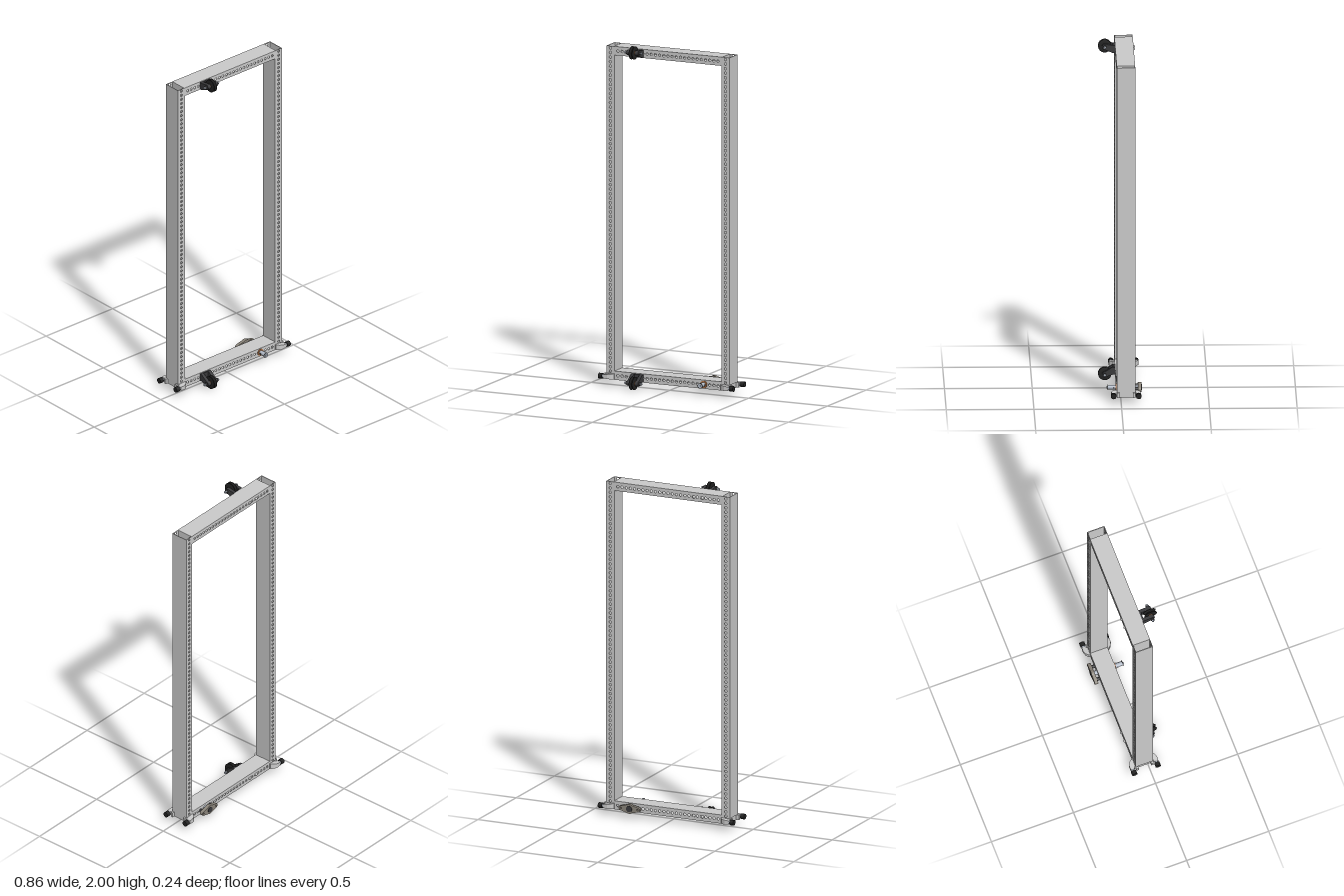
import * as THREE from 'three';

const mat = (color) => new THREE.MeshStandardMaterial({ color, side: THREE.DoubleSide });
const grey = mat(0xcccccc), dark = mat(0x3a3a3c), black = mat(0x222222);
const brass = mat(0xb87848), steel = mat(0xb4bcc8), cast = mat(0x8c867c);

const Z0 = -0.08, Z1 = 0.025, ZC = (Z0 + Z1) / 2; // back, front and middle of the frame
const W = 0.051, WALL = 0.004;                     // tube face width and wall

function add(parent, name, geometry, material, x = 0, y = 0, z = 0) {
  const mesh = new THREE.Mesh(geometry, material);
  mesh.name = name;
  mesh.position.set(x, y, z);
  parent.add(mesh);
  return mesh;
}
const box = (w, h, d) => new THREE.BoxGeometry(w, h, d);
const rodX = (r, len, n = 20) => new THREE.CylinderGeometry(r, r, len, n).rotateZ(Math.PI / 2);
const rodZ = (r, len, n = 20) => new THREE.CylinderGeometry(r, r, len, n).rotateX(Math.PI / 2);
const shapeOf = (pts) => new THREE.Shape(pts.map(([x, y]) => new THREE.Vector2(x, y)));
const extrude = (shape, depth) =>
  new THREE.ExtrudeGeometry(shape, { depth, bevelEnabled: false, curveSegments: 10 });
function punch(shape, x, y, r) {
  shape.holes.push(new THREE.Path().absarc(x, y, r, 0, Math.PI * 2, true));
}

// Hollow open-ended tube along local x, with a row of holes in front and back
function perforatedTube(name, length) {
  const g = new THREE.Group();
  g.name = name;
  const h = W / 2, l = length / 2;
  const face = shapeOf([[-l, -h], [l, -h], [l, h], [-l, h]]);
  const pitch = 0.0265, n = Math.floor((length - 0.02) / pitch);
  for (let i = 0; i <= n; i++) punch(face, (i - n / 2) * pitch, 0, 0.0075);
  const plate = extrude(face, WALL);
  add(g, 'frontFace', plate, grey, 0, 0, Z1 - WALL);
  add(g, 'backFace', plate, grey, 0, 0, Z0);
  for (const s of [-1, 1])
    add(g, 'sideWall', box(length, WALL, Z1 - Z0 - 2 * WALL), grey, 0, s * (h - WALL / 2), ZC);
  return g;
}

// Grooved wheel held in a fork on the front of a crossbeam
function pulley(name, beamY, axleY) {
  const g = new THREE.Group();
  g.name = name;
  g.position.set(-0.191, beamY, 0);
  const az = 0.083, ay = axleY - beamY;
  const cheek = new THREE.Shape();
  cheek.moveTo(-Z1, -0.022);
  cheek.lineTo(-Z1, 0.022);
  cheek.lineTo(-0.04, 0.022);
  cheek.lineTo(-az, ay + 0.016);
  cheek.absarc(-az, ay, 0.016, Math.PI / 2, Math.PI * 1.5, false);
  cheek.lineTo(-0.04, -0.022);
  const cheekGeo = extrude(cheek, 0.019).rotateY(Math.PI / 2);
  add(g, 'forkCheek', cheekGeo, dark, -0.036);
  add(g, 'forkCheek', cheekGeo, dark, 0.017);
  add(g, 'forkBase', box(0.072, 0.044, 0.01), dark, 0, 0, Z1 + 0.005);
  const profile = [[0.007, -0.012], [0.026, -0.012], [0.038, -0.011], [0.038, -0.008], [0.024, -0.002],
    [0.024, 0.002], [0.038, 0.008], [0.038, 0.011], [0.026, 0.012], [0.007, 0.012]];
  const wheel = new THREE.LatheGeometry(profile.map(([r, y]) => new THREE.Vector2(r, y)), 32)
    .rotateZ(Math.PI / 2).toNonIndexed();
  wheel.computeVertexNormals();
  add(g, 'pulleyWheel', wheel, black, 0, ay, az);
  add(g, 'bushing', rodX(0.011, 0.032), brass, 0, ay, az);
  add(g, 'axle', rodX(0.005, 0.112), steel, 0, ay, az);
  for (const s of [-1, 1]) {
    add(g, 'axleNut', rodX(0.01, 0.01, 6), dark, s * 0.042, ay, az);
    add(g, 'axleEndNut', rodX(0.008, 0.006, 6), steel, s * 0.05, ay, az);
    // Rounded screw heads on the back of the beam
    const head = new THREE.SphereGeometry(0.009, 16, 6, 0, Math.PI * 2, 0, Math.PI / 2).rotateX(-Math.PI / 2);
    add(g, 'screwHead', head, grey, s * 0.027, 0, Z0);
  }
  return g;
}

// Clamp foot under the left upright, built on +x; side turns it to the other end
function cornerClamp(name, side) {
  const g = new THREE.Group();
  g.name = name;
  const a = 0.344, b = 0.387, c = 0.012;
  // Shapes are drawn in x and -z, then laid flat
  const block = shapeOf([[a + c, -Z1], [b - c, -Z1], [b, -Z1 + c], [b, -Z0 - c],
    [b - c, -Z0], [a + c, -Z0], [a, -Z0 - c], [a, -Z1 + c]]);
  for (const d of [-0.0265, 0, 0.0265]) punch(block, 0.365, -ZC + d, 0.006);
  const flat = (shape, h) => extrude(shape, h).rotateX(-Math.PI / 2);
  add(g, 'footBlock', flat(block, 0.034), grey, 0, 0.038);
  for (const s of [-1, 1]) {
    const half = (Z1 - Z0) / 2;
    const outline = [[0.338, 0], [0.338, 0.008], [0.352, 0.024], [0.372, 0.032],
      [0.397, 0.031], [0.397, 0.011], [0.384, 0]];
    const arm = shapeOf(outline.map(([x, d]) => [x, -ZC + s * (half + d)]));
    const armGeo = flat(arm, 0.03);
    // Narrow the arm towards the knob
    const p = armGeo.attributes.position;
    for (let i = 0; i < p.count; i++) {
      const t = Math.min(1, (p.getX(i) - 0.338) / 0.06);
      p.setY(i, 0.015 + (p.getY(i) - 0.015) * (1.1 - 0.4 * t));
    }
    armGeo.computeVertexNormals();
    add(g, 'clampArm', armGeo, grey, 0, 0.04);
    const kz = ZC - s * (half + 0.019);
    add(g, 'knobStud', rodX(0.01, 0.014), steel, 0.399, 0.055, kz);
    add(g, 'knob', rodX(0.016, 0.024, 24), black, 0.416, 0.055, kz);
    add(g, 'sideTab', box(0.018, 0.03, 0.014), grey, 0.395, 0.055, ZC - s * 0.0455);
  }
  // The clamp is symmetric about the frame's middle plane, so a half turn mirrors it
  if (side < 0) {
    g.rotation.y = Math.PI;
    g.position.z = 2 * ZC;
  }
  return g;
}

// Drive shaft through the bottom beam with a flange bearing at the back
function driveShaft() {
  const g = new THREE.Group();
  g.name = 'driveShaft';
  g.position.set(0.228, 0.06, 0);
  add(g, 'shaft', rodZ(0.013, 0.193), steel, 0, 0, -0.0215);
  add(g, 'shaftEnd', rodZ(0.006, 0.006), steel, 0, 0, 0.077);
  add(g, 'crossPin', rodX(0.004, 0.03, 12), dark, 0, 0, 0.04);
  add(g, 'retainingRing', rodZ(0.0155, 0.003), dark, 0, 0, 0.073);
  add(g, 'frontCollar', rodZ(0.021, 0.005, 24), brass, 0, 0, Z1 + 0.0025);
  const flange = new THREE.Shape();
  flange.absarc(0, 0, 0.028, Math.PI * 0.3, Math.PI * 0.7, false);
  flange.absarc(-0.053, 0, 0.0135, Math.PI * 0.65, Math.PI * 1.35, false);
  flange.absarc(0, 0, 0.028, Math.PI * 1.3, Math.PI * 1.7, false);
  flange.absarc(0.053, 0, 0.0135, -Math.PI * 0.35, Math.PI * 0.35, false);
  for (const s of [-1, 1]) punch(flange, s * 0.053, 0, 0.005);
  add(g, 'bearingFlange', extrude(flange, 0.02), cast, 0, 0, -0.118);
  add(g, 'bearingCap', rodZ(0.018, 0.005, 24), dark, 0, 0, -0.1185);
  for (const s of [-1, 1]) add(g, 'spacer', rodZ(0.01, 0.019), dark, s * 0.04, 0, -0.089);
  return g;
}

export function createModel() {
  const model = new THREE.Group();
  model.name = 'pulleyFrame';
  const yTop = 1.975, yLow = 0.07;
  for (const s of [1, -1]) {
    const upright = perforatedTube(s > 0 ? 'leftUpright' : 'rightUpright', yTop - yLow);
    upright.rotation.z = Math.PI / 2;
    upright.position.set(s * 0.3655, (yTop + yLow) / 2, 0);
    model.add(upright, cornerClamp(s > 0 ? 'leftClamp' : 'rightClamp', s));
  }
  const topBeam = perforatedTube('topBeam', 0.68);
  topBeam.position.y = yTop - W / 2;
  const bottomBeam = perforatedTube('bottomBeam', 0.68);
  bottomBeam.position.y = 0.06;
  model.add(topBeam, bottomBeam);
  model.add(pulley('topPulley', yTop - W / 2, 1.962), pulley('bottomPulley', 0.06, 0.038));
  model.add(driveShaft());
  return model;
}
